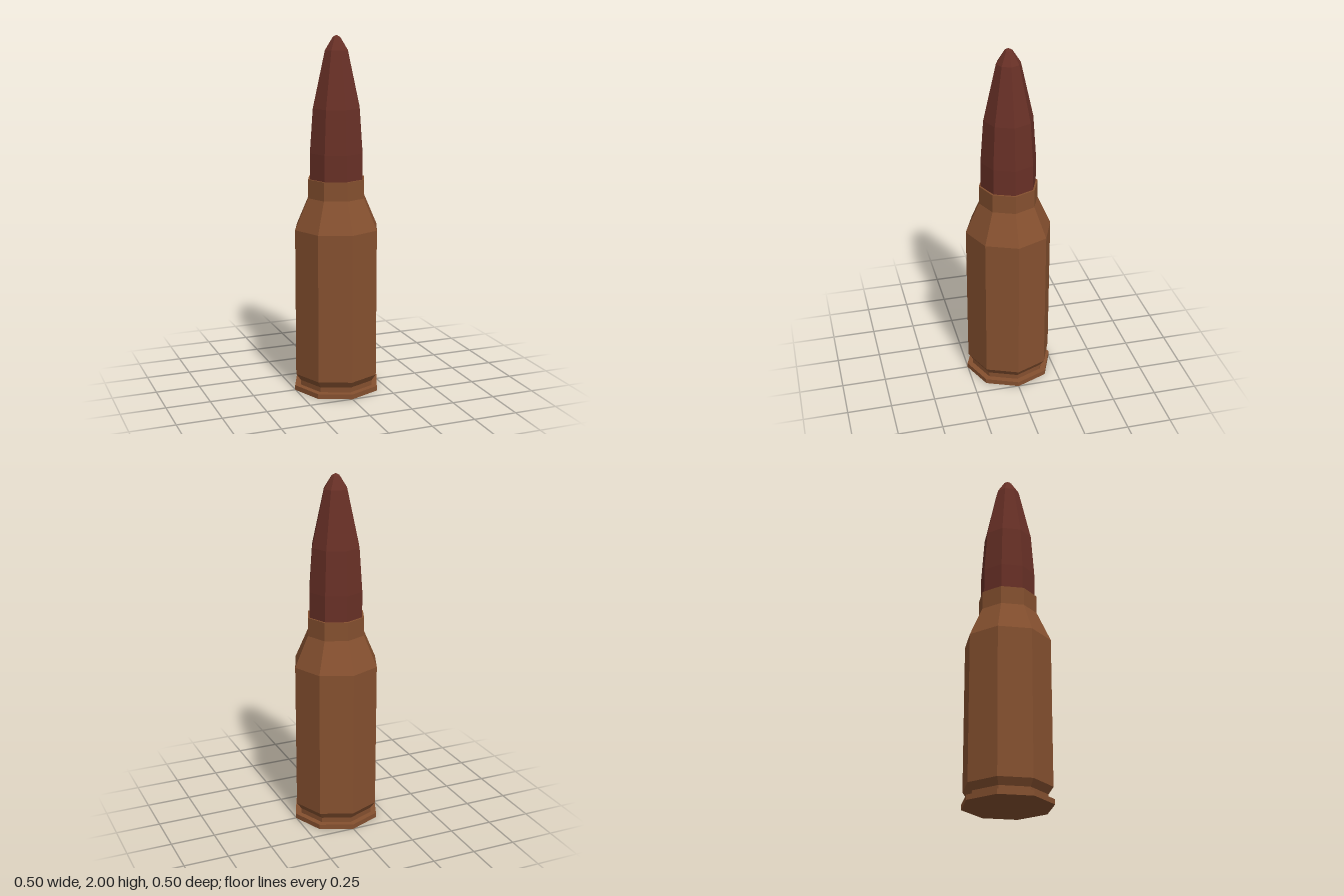
import * as THREE from 'three';

const SIDES = 8;

// Faceted solid of revolution from [radius, height] pairs, bottom to top
function turned(name, profile, material) {
  const points = profile.map(([r, y]) => new THREE.Vector2(r, y));
  const mesh = new THREE.Mesh(new THREE.LatheGeometry(points, SIDES), material);
  mesh.name = name;
  return mesh;
}

export function createModel() {
  const brass = new THREE.MeshStandardMaterial({ color: 0x85502f, flatShading: true });
  brass.name = 'brass';
  const copper = new THREE.MeshStandardMaterial({ color: 0x683026, flatShading: true });
  copper.name = 'darkCopper';

  const model = new THREE.Group();
  model.name = 'cartridge';

  // Closed base disc with rim
  model.add(turned('rim', [[0, 0], [0.252, 0], [0.252, 0.028], [0.218, 0.028]], brass));

  // Extractor groove, straight body, sloped shoulder, neck and flat lip
  model.add(turned('casing', [
    [0.218, 0.028], [0.218, 0.056], [0.245, 0.095], [0.245, 0.935],
    [0.167, 1.11], [0.167, 1.215], [0.15, 1.215],
  ], brass));

  // Pointed tip, seated slightly inside the neck
  model.add(turned('bullet', [
    [0.156, 1.19], [0.156, 1.36], [0.138, 1.605], [0.067, 1.918],
    [0.022, 1.988], [0, 2],
  ], copper));

  return model;
}
